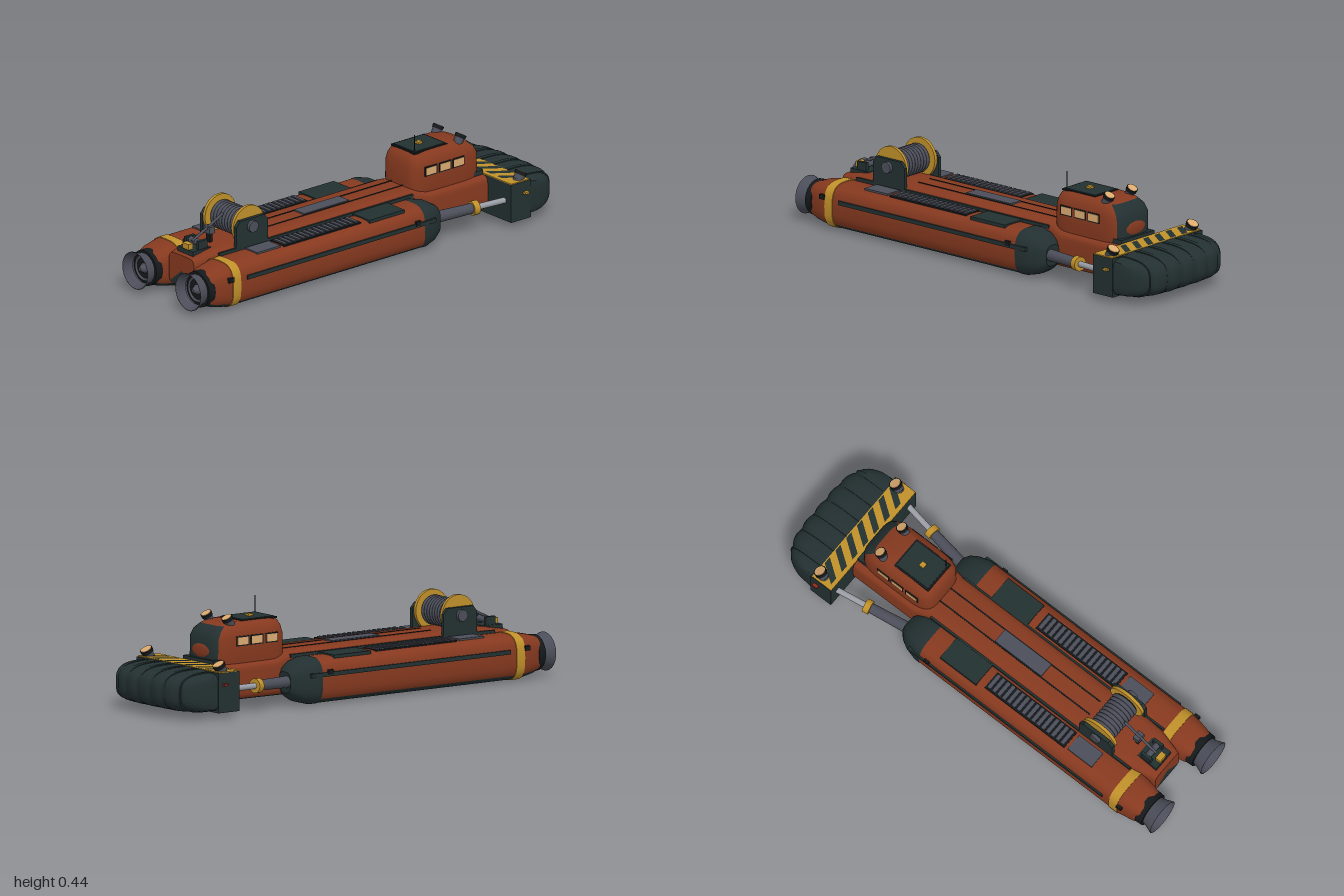
import * as THREE from 'three';
import { toCreasedNormals } from 'three/addons/utils/BufferGeometryUtils.js';

const M = {};
for (const [name, hex] of Object.entries({
  rustRed: 0x86391f, darkGreen: 0x233031, yellow: 0xc0902a, steel: 0x4b4e59,
  black: 0x15191b, cream: 0xdcab70, paleSteel: 0x9a9da4, red: 0x8c2a1c,
})) {
  M[name] = new THREE.MeshStandardMaterial({ color: hex });
  M[name].name = name;
}
M.steelOpen = M.steel;
M.steel.side = THREE.DoubleSide;

export function createModel() {
  const root = new THREE.Group();
  const PI = Math.PI;

  function add(name, geo, mat, x = 0, y = 0, z = 0) {
    const m = new THREE.Mesh(geo, mat);
    m.name = name;
    m.position.set(x, y, z);
    root.add(m);
    return m;
  }
  // box given by its limits
  const box = (name, mat, x0, x1, y0, y1, z0, z1) => add(name,
    new THREE.BoxGeometry(x1 - x0, y1 - y0, Math.abs(z1 - z0)), mat, (x0 + x1) / 2, (y0 + y1) / 2, (z0 + z1) / 2);
  // cylinder between two points
  function rod(name, mat, a, b, r0, r1 = r0, sides = 20) {
    const p = new THREE.Vector3(...a), q = new THREE.Vector3(...b), d = q.clone().sub(p);
    const m = add(name, new THREE.CylinderGeometry(r1, r0, d.length(), sides), mat);
    m.position.copy(p).add(q).multiplyScalar(0.5);
    m.quaternion.setFromUnitVectors(new THREE.Vector3(0, 1, 0), d.normalize());
    return m;
  }
  // superellipse sections [x, centreY, halfY, halfZ] joined along x, over part of the turn
  function loft(st, cz, exp, a0 = 0, a1 = 2 * PI, n = 32) {
    const pos = [], idx = [];
    const pw = v => Math.sign(v) * Math.pow(Math.abs(v), 2 / exp);
    st.forEach(([x, cy, hy, hz], i) => {
      for (let j = 0; j <= n; j++) {
        const a = a0 + (a1 - a0) * j / n;
        pos.push(x, cy + hy * pw(Math.sin(a)), cz + hz * pw(Math.cos(a)));
        if (i && j) {
          const d = i * (n + 1) + j, c = d - 1, b = d - n - 1, p = b - 1;
          idx.push(p, c, d, p, d, b);
        }
      }
    });
    const g = new THREE.BufferGeometry();
    g.setAttribute('position', new THREE.Float32BufferAttribute(pos, 3));
    g.setIndex(idx);
    return toCreasedNormals(g, 0.6);
  }
  // red sides and dark keel of one body
  const KEEL0 = 1.23 * PI, KEEL1 = 1.77 * PI;
  function hullBody(name, st, cz, exp) {
    add(name, loft(st, cz, exp, KEEL1 - 2 * PI, KEEL0), M.rustRed);
    add(name + 'Keel', loft(st, cz, exp, KEEL0, KEEL1, 14), M.darkGreen);
  }

  // central hull and deck
  hullBody('centralHull', [[-0.89, 0.12, 0, 0], [-0.89, 0.12, 0.07, 0.08], [-0.78, 0.12, 0.09, 0.11],
    [-0.7, 0.125, 0.095, 0.115], [0.3, 0.125, 0.095, 0.115], [0.38, 0.117, 0.083, 0.133],
    [0.72, 0.117, 0.08, 0.135]], 0, 6);
  box('deckPlate', M.steel, -0.235, 0.015, 0.218, 0.226, -0.033, 0.033);
  for (const s of [1, -1]) {
    box('deckSeam', M.black, -0.5, 0.33, 0.216, 0.222, s * 0.033, s * 0.039);
    box('hullSeam', M.darkGreen, -0.78, 0.3, 0.19, 0.205, s * 0.108, s * 0.117);
  }

  // side pontoons with engines and struts
  for (const s of [1, -1]) {
    const z = s * 0.17;
    hullBody('pontoon', [[-0.93, 0.1, 0.074, 0.07], [-0.9, 0.1, 0.084, 0.08], [-0.83, 0.1, 0.098, 0.091],
      [0.25, 0.1, 0.098, 0.091]], z, 3);
    add('pontoonNose', loft([[0.24, 0.1, 0.1, 0.093], [0.27, 0.1, 0.1, 0.092], [0.32, 0.1, 0.087, 0.079],
      [0.355, 0.1, 0.066, 0.06], [0.372, 0.1, 0.045, 0.04], [0.372, 0.1, 0, 0]], z, 3), M.darkGreen);
    add('yellowBand', loft([[-0.828, 0.1, 0.096, 0.09], [-0.828, 0.1, 0.101, 0.094], [-0.785, 0.1, 0.101, 0.094],
      [-0.785, 0.1, 0.096, 0.09]], z, 3), M.yellow);
    box('rubRail', M.darkGreen, -0.75, 0.3, 0.122, 0.14, s * 0.25, s * 0.266);
    for (const x of [-0.84, 0.2]) box('cleat', M.black, x - 0.013, x + 0.013, 0.13, 0.15, s * 0.25, s * 0.268);

    // engine collar, flared nozzle and rotor
    rod('engineCollar', M.black, [-0.95, 0.1, z], [-0.915, 0.1, z], 0.078, 0.08, 28);
    const nozzle = add('nozzle', new THREE.LatheGeometry([[0.066, 0], [0.069, 0.025], [0.083, 0.06], [0.079, 0.06],
      [0.062, 0.02]].map(p => new THREE.Vector2(...p)), 28), M.steel, -0.94, 0.1, z);
    nozzle.rotation.z = PI / 2;
    rod('rotorHub', M.steel, [-0.975, 0.1, z], [-0.94, 0.1, z], 0.008, 0.028);
    const ring = add('nozzleRing', new THREE.TorusGeometry(0.05, 0.006, 8, 28), M.steel, -0.952, 0.1, z);
    ring.rotation.y = PI / 2;

    // pontoon deck fittings
    box('stepPlate', M.steel, -0.65, -0.52, 0.192, 0.203, s * 0.132, s * 0.21);
    box('grateFrame', M.black, -0.505, -0.075, 0.188, 0.2, s * 0.128, s * 0.214);
    for (let i = 0; i < 16; i++) {
      const x = -0.488 + i * 0.0264;
      box('grateSlat', M.steel, x - 0.008, x + 0.008, 0.195, 0.205, s * 0.135, s * 0.207);
    }
    box('pontoonHatch', M.darkGreen, -0.04, 0.155, 0.186, 0.203, s * 0.113, s * 0.228);

    // telescopic strut to the bow fender
    const at = t => [0.33 + 0.39 * t, 0.103 + 0.012 * t, s * (0.177 + 0.066 * t)];
    rod('strutSleeve', M.steel, at(0), at(0.57), 0.026, 0.022);
    rod('strutCollar', M.yellow, at(0.54), at(0.61), 0.031);
    rod('strutRod', M.paleSteel, at(0.6), at(1), 0.013);
  }

  // bow fender: housing, ribbed cushion, straps
  box('fenderHousing', M.darkGreen, 0.7, 0.81, 0.025, 0.195, -0.285, 0.285);
  const cushion = (z, grow) => {
    const e = Math.pow(Math.max(0, 1 - Math.pow(Math.abs(z) / 0.283, 4)), 1 / 3);
    const lobe = 0.93 + 0.07 * Math.sqrt(Math.abs(Math.cos(PI * z / 0.085)));
    return [z, 0.11, 0.088 * (0.6 + 0.4 * e) * lobe + grow, 0.196 * e * lobe + grow];
  };
  const alongZ = st => loft(st, -0.8, 3.2, PI / 2, 1.5 * PI, 20).rotateY(-PI / 2);
  const cushionStations = [];
  for (let i = 0; i <= 60; i++) cushionStations.push(cushion(-0.283 + 0.566 * i / 60, 0));
  add('fenderCushion', alongZ(cushionStations), M.darkGreen);
  for (let i = -3; i < 3; i++) {
    const c = (i + 0.5) * 0.085, a = cushion(c, 0.007), b = cushion(c, -0.004);
    const at = (p, dz) => [c + dz, p[1], p[2], p[3]];
    add('fenderStrap', alongZ([at(b, -0.011), at(a, -0.01), at(a, 0.01), at(b, 0.011)]), M.darkGreen);
  }
  // hazard striped top plate
  box('hazardPlate', M.yellow, 0.7, 0.803, 0.193, 0.199, -0.283, 0.283);
  for (let i = 0; i < 7; i++) {
    const z = -0.262 + i * 0.072;
    const sh = new THREE.Shape([[0.717, -z], [0.717, -z - 0.034], [0.798, -z - 0.092], [0.798, -z - 0.058]]
      .map(([x, y]) => new THREE.Vector2(x, Math.max(-0.28, y))));
    add('hazardStripe', new THREE.ShapeGeometry(sh).rotateX(-PI / 2), M.darkGreen, 0, 0.2005, 0);
  }
  box('portNavLight', M.yellow, 0.765, 0.79, 0.14, 0.149, 0.28, 0.3);
  box('starboardNavLight', M.red, 0.765, 0.79, 0.14, 0.149, -0.3, -0.28);

  // cabin: red shell, dark windscreen, roof
  const cabin = [[0.19, -0.5, 0.188, 0.112], [0.22, -0.5, 0.19, 0.115], [0.3, -0.5, 0.188, 0.116],
    [0.33, -0.495, 0.176, 0.11], [0.352, -0.485, 0.156, 0.095], [0.365, -0.475, 0.13, 0.076], [0.365, -0.475, 0, 0]];
  const F0 = 1.27 * PI, F1 = 1.73 * PI;
  add('cabinShell', loft(cabin, 0, 5, F1 - 2 * PI, F0).rotateZ(PI / 2), M.rustRed);
  add('windscreen', loft(cabin.slice(0, 5), 0, 5, F0, F1, 14).rotateZ(PI / 2), M.darkGreen);
  add('cabinBrow', loft(cabin.slice(4), 0, 5, F0, F1, 14).rotateZ(PI / 2), M.rustRed);
  const panel = add('nosePanel', new THREE.SphereGeometry(1, 24, 16), M.rustRed, 0.686, 0.246, 0);
  panel.scale.set(0.008, 0.031, 0.061);
  box('cabinCollar', M.darkGreen, 0.52, 0.7, 0.185, 0.214, -0.105, 0.105);
  box('roofHatchRim', M.black, 0.342, 0.527, 0.36, 0.367, -0.076, 0.076);
  box('roofHatch', M.darkGreen, 0.35, 0.519, 0.36, 0.37, -0.068, 0.068);
  box('beacon', M.yellow, 0.42, 0.443, 0.369, 0.379, -0.012, 0.012);
  rod('antenna', M.black, [0.355, 0.35, 0.06], [0.355, 0.441, 0.06], 0.002, 0.002, 8);
  for (const s of [1, -1]) for (const x of [0.4, 0.478, 0.553]) {
    box('windowFrame', M.black, x - 0.033, x + 0.033, 0.267, 0.309, s * 0.112, s * 0.1175);
    box('sideWindow', M.cream, x - 0.028, x + 0.028, 0.272, 0.304, s * 0.114, s * 0.119);
  }

  // tilted floodlights
  function lamp(x, y, z, r) {
    const at = t => [x + 0.5 * t, y + 0.866 * t, z];
    rod('lampBody', M.steel, at(-0.052), at(-0.01), r * 0.75, r * 0.85);
    rod('lampRim', M.black, at(-0.016), at(0), r * 0.95, r);
    rod('lampLens', M.cream, at(-0.002), at(0.002), r * 0.85);
  }
  for (const s of [1, -1]) {
    lamp(0.605, 0.388, s * 0.072, 0.025);
    lamp(0.785, 0.228, s * 0.252, 0.028);
    rod('lampFoot', M.black, [0.765, 0.19, s * 0.252], [0.765, 0.208, s * 0.252], 0.018);
  }

  // winch: drum with cable turns, flanges, brackets
  rod('winchDrum', M.black, [-0.6, 0.285, -0.09], [-0.6, 0.285, 0.09], 0.055, 0.055, 28);
  for (let i = 0; i < 9; i++)
    add('cableTurn', new THREE.TorusGeometry(0.055, 0.009, 8, 28), M.steel, -0.6, 0.285, -0.072 + i * 0.018);
  const side = new THREE.Shape([[-0.685, 0.195], [-0.508, 0.195], [-0.508, 0.295], [-0.53, 0.32], [-0.665, 0.32],
    [-0.685, 0.295]].map(p => new THREE.Vector2(...p)));
  for (const s of [1, -1]) {
    rod('winchFlange', M.yellow, [-0.6, 0.285, s * 0.084], [-0.6, 0.285, s * 0.098], 0.086, 0.086, 32);
    add('winchBracket', new THREE.ExtrudeGeometry(side, { depth: 0.016, bevelEnabled: false }), M.darkGreen,
      0, 0, s > 0 ? 0.101 : -0.117);
    rod('winchHub', M.steel, [-0.6, 0.285, s * 0.1], [-0.6, 0.285, s * 0.132], 0.025);
  }

  // stern fairlead and cable
  box('fairleadBase', M.darkGreen, -0.87, -0.77, 0.19, 0.214, -0.05, 0.05);
  for (const s of [1, -1]) box('fairleadPost', M.darkGreen, -0.835, -0.785, 0.21, 0.25, s * 0.032, s * 0.046);
  rod('fairleadRoller', M.steel, [-0.81, 0.234, -0.04], [-0.81, 0.234, 0.04], 0.014);
  box('fairleadGuard', M.yellow, -0.868, -0.842, 0.212, 0.238, -0.02, 0.02);
  rod('winchCable', M.steel, [-0.83, 0.24, 0], [-0.66, 0.322, 0], 0.006, 0.006, 10);
  box('cableGuide', M.steel, -0.75, -0.72, 0.255, 0.285, -0.02, 0.02);
  box('guideStand', M.black, -0.742, -0.728, 0.2, 0.26, -0.012, 0.012);
  return root;
}
